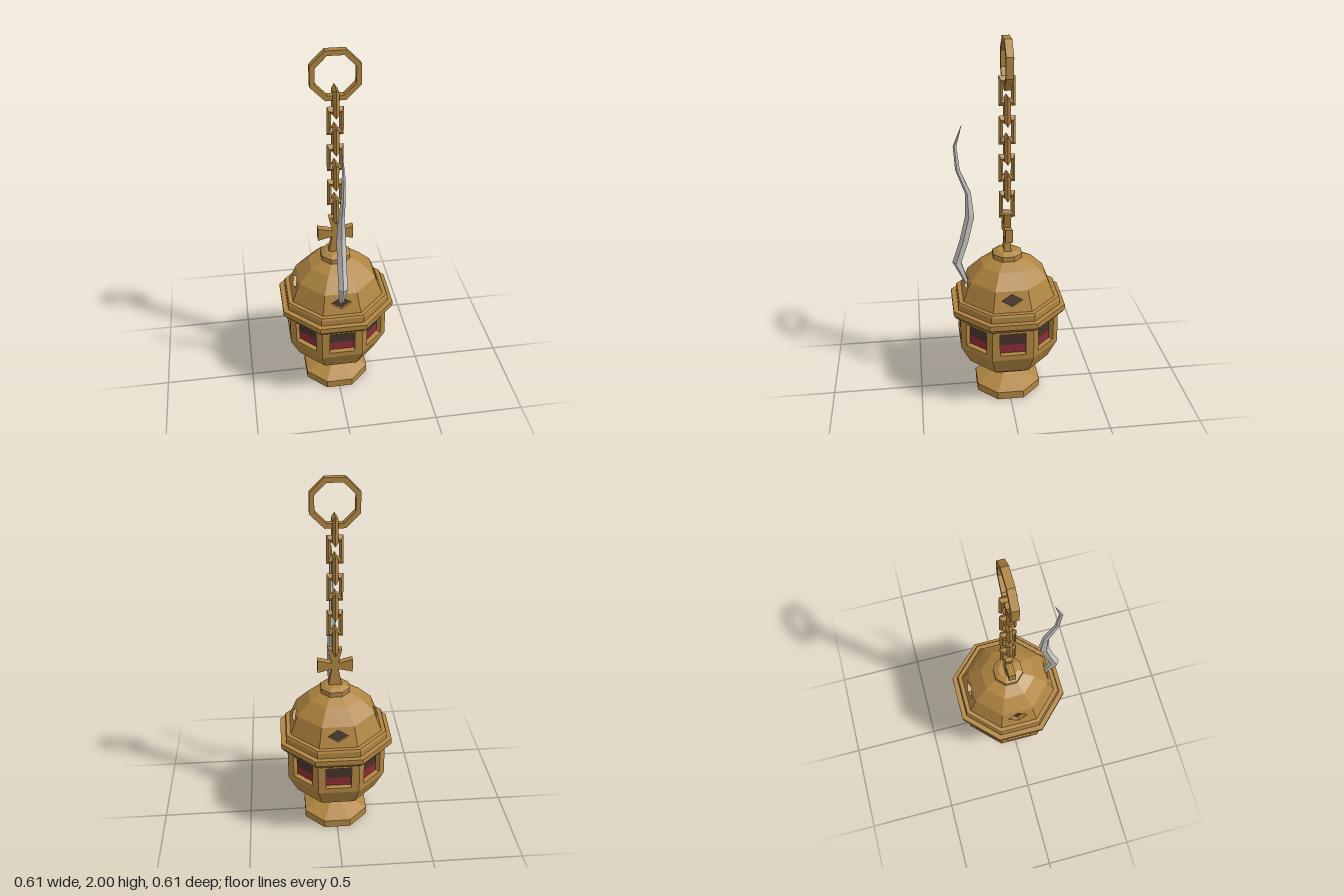
import * as THREE from 'three';

const T = Math.tan(Math.PI / 8), C = Math.cos(Math.PI / 8);
const mat = (name, color, side = THREE.FrontSide) => {
  const m = new THREE.MeshStandardMaterial({ color, side });
  m.name = name;
  return m;
};

// Facet a geometry so every face keeps its own normal
function flat(geo) {
  const g = geo.index ? geo.toNonIndexed() : geo;
  g.computeVertexNormals();
  return g;
}

// Eight-sided solid from [apothem, y] points, bottom to top, flats facing the axes
const octagon = pts => flat(new THREE.LatheGeometry(
  pts.map(([r, y]) => new THREE.Vector2(r / C, y)), 8, Math.PI / 8));

const polygon = (pts, Type = THREE.Shape) => new Type(pts.map(p => new THREE.Vector2(...p)));

// One thick side of an octagonal band, sloping from [r0, y0] to [r1, y1], with an optional hole
function panel(r0, y0, r1, y1, k, hole) {
  const h = Math.hypot(r1 - r0, y1 - y0), a = Math.atan2(r0 - r1, y1 - y0), depth = 0.03;
  const shape = polygon([[-r0 * T, 0], [r0 * T, 0], [r1 * T, h], [-r1 * T, h]]);
  if (hole) shape.holes.push(polygon(hole, THREE.Path));
  return new THREE.ExtrudeGeometry(shape, { depth, bevelEnabled: false })
    .translate(0, 0, -depth).rotateX(-a).translate(0, y0, r0).rotateY(k * Math.PI / 4);
}

// Tapering five-sided wisp through [y, z, radius] stations
function wisp(stations) {
  const pos = [], idx = [], n = 5;
  for (const [y, z, r] of stations)
    for (let i = 0; i < n; i++) {
      const a = i * 2 * Math.PI / n;
      pos.push(r * Math.sin(a), y, z + r * Math.cos(a));
    }
  for (let j = 0; j < stations.length - 1; j++)
    for (let i = 0; i < n; i++) {
      const a = j * n + i, b = j * n + (i + 1) % n;
      idx.push(a, b, a + n, b, b + n, a + n);
    }
  const g = new THREE.BufferGeometry();
  g.setAttribute('position', new THREE.Float32BufferAttribute(pos, 3));
  g.setIndex(idx);
  return flat(g);
}

export function createModel() {
  const model = new THREE.Group();
  model.name = 'hangingCenser';
  const brass = mat('brass', 0xb08541);
  const dark = mat('darkInterior', 0x46342a);
  const ember = mat('emberRed', 0x8c2c36);
  const smoke = mat('smokeGrey', 0xc6c5c1, THREE.DoubleSide);
  const add = (name, geo, material, parent = model) => {
    const m = new THREE.Mesh(geo, material);
    m.name = name;
    parent.add(m);
    return m;
  };

  // Foot, neck and bowl
  add('foot', octagon([[0, 0], [0.178, 0], [0.178, 0.045], [0.075, 0.09], [0.058, 0.108], [0.07, 0.125]]), brass);
  add('bowl', octagon([[0.065, 0.125], [0.13, 0.148], [0.22, 0.217], [0.27, 0.325]]), brass);

  // Wall with a window in every side
  const wall = new THREE.Group();
  wall.name = 'windowWall';
  model.add(wall);
  const win = [[-0.07, 0.03], [-0.07, 0.163], [0.07, 0.163], [0.07, 0.03]];
  for (let k = 0; k < 8; k++) add('windowPanel', panel(0.27, 0.325, 0.27, 0.525, k, win), brass, wall);
  add('embers', octagon([[0.241, 0.33], [0.241, 0.405]]), ember);
  add('darkChamber', octagon([[0.241, 0.405], [0.241, 0.52]]), dark);

  // Stepped rim
  add('rim', octagon([[0.25, 0.515], [0.29, 0.515], [0.305, 0.535], [0.305, 0.565], [0.278, 0.565],
    [0.278, 0.598], [0.272, 0.61], [0.22, 0.61]]), brass);

  // Dome: lower band with four diamond vents, upper facets and collar
  const dome = new THREE.Group();
  dome.name = 'dome';
  model.add(dome);
  const vent = [[-0.056, 0.064], [0, 0.097], [0.056, 0.064], [0, 0.031]];
  for (let k = 0; k < 8; k++)
    add('domePanel', panel(0.25, 0.61, 0.21, 0.716, k, k % 2 ? null : vent), brass, dome);
  add('ventInterior', octagon([[0.224, 0.6], [0.184, 0.706]]), dark, dome);
  add('domeTop', octagon([[0.21, 0.716], [0.14, 0.79], [0.078, 0.822]]), brass, dome);
  add('collar', octagon([[0.078, 0.82], [0.078, 0.85], [0.05, 0.865], [0, 0.865]]), brass, dome);

  // Flared cross
  const w = 0.018, f = 0.037;
  const cross = polygon([[-f, -0.12], [f, -0.12], [w, -w], [0.095, -f], [0.095, f], [w, w],
    [f, 0.1], [-f, 0.1], [-w, w], [-0.095, f], [-0.095, -f], [-w, -w]]);
  add('cross', new THREE.ExtrudeGeometry(cross, { depth: 0.038, bevelEnabled: false })
    .translate(0, 0.98, -0.019), brass);

  // Chain of alternating rectangular links
  const chain = new THREE.Group();
  chain.name = 'chain';
  model.add(chain);
  const link = flat(new THREE.TorusGeometry(0.0445, 0.0163, 4, 4).rotateZ(Math.PI / 4).scale(1, 1.77, 1));
  for (let i = 0; i < 7; i++) {
    const m = add('chainLink', link, brass, chain);
    m.position.y = 1.128 + i * 0.1015;
    m.rotation.y = i % 2 ? 0 : Math.PI / 2;
  }

  // Octagonal hand ring
  const oct = r => Array.from({ length: 8 }, (_, i) => {
    const a = (i + 0.5) * Math.PI / 4;
    return [r / C * Math.cos(a), r / C * Math.sin(a)];
  });
  const ring = polygon(oct(0.125));
  ring.holes.push(polygon(oct(0.1), THREE.Path));
  add('handRing', new THREE.ExtrudeGeometry(ring, { depth: 0.038, bevelEnabled: false })
    .translate(0, 1.875, -0.019), brass);

  // Smoke rising from the front vent
  add('smokeWisp', wisp([[0.67, 0.222, 0.012], [0.8, 0.272, 0.026], [0.93, 0.23, 0.026], [1.07, 0.197, 0.026],
    [1.2, 0.204, 0.017], [1.33, 0.255, 0.013], [1.46, 0.267, 0.01], [1.57, 0.23, 0.001]]), smoke);

  return model;
}
